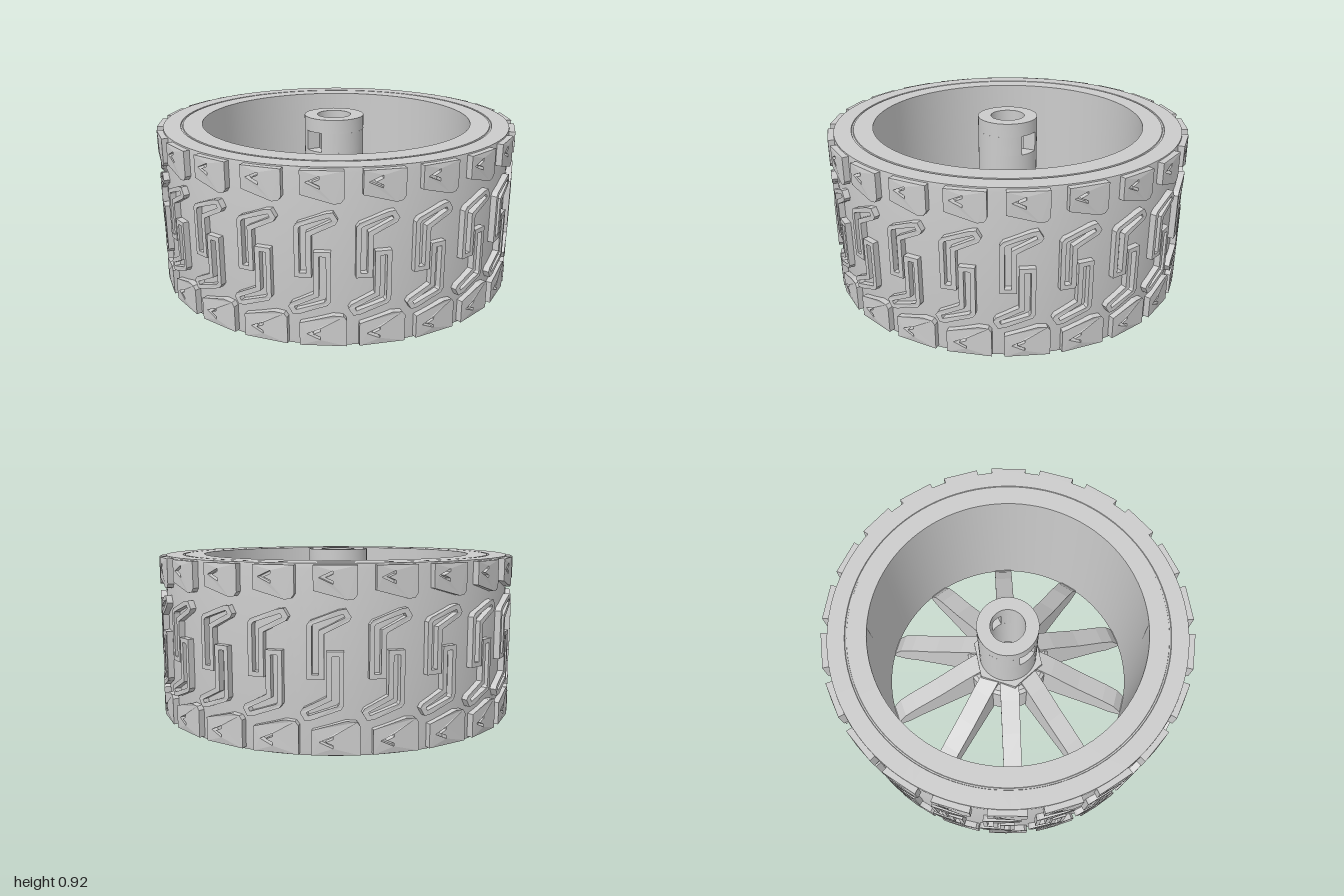
import * as THREE from 'three';
import { mergeGeometries, toCreasedNormals } from 'three/addons/utils/BufferGeometryUtils.js';

const BLOCKS = 22, SPOKES = 10, BASE_R = 0.955, TREAD_R = 1.0;
const pts = (list) => list.map(([x, y]) => new THREE.Vector2(x, y));
const rad = THREE.MathUtils.degToRad;

export function createModel() {
  const group = new THREE.Group();
  const material = new THREE.MeshStandardMaterial({ color: 0xcccccc });

  const add = (name, geometry) => {
    const mesh = new THREE.Mesh(geometry, material);
    mesh.name = name;
    group.add(mesh);
    return mesh;
  };

  // closed profile in (radius, height), listed counterclockwise
  const turned = (profile, segments) =>
    toCreasedNormals(new THREE.LatheGeometry(pts([...profile, profile[0]]), segments), 0.5);

  // flat outline with optional grooves, wrapped around the tyre at an angle
  const treadBlock = (outline, grooves, angle) => {
    const shape = new THREE.Shape(pts(outline));
    grooves.forEach((g) => shape.holes.push(new THREE.Path(pts(g))));
    const geo = new THREE.ExtrudeGeometry(shape, { depth: TREAD_R - BASE_R, bevelEnabled: false });
    const p = geo.attributes.position;
    for (let i = 0; i < p.count; i++) {
      const a = angle + p.getX(i) / TREAD_R;
      const r = BASE_R + p.getZ(i);
      p.setXYZ(i, r * Math.sin(a), p.getY(i), r * Math.cos(a));
    }
    geo.computeVertexNormals();
    return geo;
  };

  // tyre and rim: one hollow ring with a stepped lower lip
  add('tyre', turned([
    [0.82, 0], [0.965, 0], [0.968, 0.02], [0.968, 0.87], [0.965, 0.892],
    [0.872, 0.892], [0.87, 0.887], [0.862, 0.887], [0.86, 0.892],
    [0.755, 0.892], [0.755, 0.045], [0.82, 0.045],
  ], 96));

  // tread outlines: shoulder blocks with a chevron sipe, hooks with a long groove
  const upperShoulder = [[-0.1, 0.772], [0.055, 0.73], [0.085, 0.735], [0.1, 0.755], [0.1, 0.885], [-0.1, 0.885]];
  const upperSipe = [[-0.075, 0.83], [-0.01, 0.8], [-0.01, 0.815], [-0.045, 0.83], [-0.01, 0.845], [-0.01, 0.86]];
  const lowerShoulder = [[-0.11, 0.012], [0.115, 0.012], [0.115, 0.15], [0.1, 0.17], [0.05, 0.175], [-0.11, 0.13]];
  const lowerSipe = upperSipe.map(([x, y]) => [x, y - 0.755]);
  const hook = [[-0.085, -0.065], [-0.005, -0.065], [-0.005, 0.145], [0.105, 0.2],
    [0.118, 0.22], [0.095, 0.258], [0.06, 0.253], [-0.07, 0.205], [-0.085, 0.185]];
  const hookGroove = [[-0.062, -0.042], [-0.03, -0.042], [-0.03, 0.16], [0.088, 0.218],
    [0.08, 0.234], [-0.055, 0.188], [-0.062, 0.178]];
  const HOOK_Y = 0.433;
  const place = (outline, s) => outline.map(([x, y]) => [s * x, HOOK_Y + s * y]);

  const shoulders = [], hooks = [];
  for (let i = 0; i < BLOCKS; i++) {
    const a = rad(-5.5) + (i * 2 * Math.PI) / BLOCKS;
    shoulders.push(treadBlock(upperShoulder, [upperSipe], a));
    shoulders.push(treadBlock(lowerShoulder, [lowerSipe], a));
    // each hook interlocks with a copy turned half way round
    for (const s of [1, -1]) {
      hooks.push(treadBlock(place(hook, s), [place(hookGroove, s)], a - rad(2.6)));
    }
  }
  add('shoulderBlocks', mergeGeometries(shoulders));
  add('treadHooks', mergeGeometries(hooks));

  // spokes: wedges rising from the rim to the hub
  const spokeShape = new THREE.Shape(pts([
    [0.18, 0.15], [0.6, 0.04], [0.68, 0.005], [0.8, 0.005], [0.8, 0.05], [0.75, 0.06],
    [0.70, 0.14], [0.62, 0.2], [0.45, 0.3], [0.28, 0.42], [0.18, 0.48],
  ]));
  const spokes = [];
  for (let i = 0; i < SPOKES; i++) {
    const geo = new THREE.ExtrudeGeometry(spokeShape, { depth: 0.11, bevelEnabled: false });
    geo.translate(0, 0, -0.055);
    geo.rotateY(rad(5.5) + (i * 2 * Math.PI) / SPOKES);
    spokes.push(geo);
  }
  add('spokes', mergeGeometries(spokes));

  // hub: flange with a conical cup beneath, carrying a stepped-bore barrel
  const SLOT_LOW = 0.73, SLOT_HIGH = 0.84, TOP = 0.917;
  const hub = [
    add('hubFlange', turned([
      [0.2, 0.14], [0.24, 0.16], [0.24, 0.42], [0.22, 0.44], [0.1, 0.44],
      [0.062, 0.44], [0.062, 0.24], [0.11, 0.24],
    ], 48)),
    add('barrelLower', turned([
      [0.095, 0.44], [0.168, 0.44], [0.168, SLOT_LOW], [0.095, SLOT_LOW],
    ], 48)),
    add('barrelTop', turned([
      [0.095, SLOT_HIGH], [0.168, SLOT_HIGH], [0.168, TOP], [0.095, TOP],
    ], 48)),
  ];

  // hexagonal collar around the foot of the barrel
  const hexagon = new THREE.Shape();
  for (let i = 0; i < 6; i++) {
    const a = rad(15 + i * 60);
    hexagon[i ? 'lineTo' : 'moveTo'](0.21 * Math.cos(a), 0.21 * Math.sin(a));
  }
  hexagon.holes.push(new THREE.Path().absarc(0, 0, 0.16, 0, 2 * Math.PI, true));
  const collar = new THREE.ExtrudeGeometry(hexagon, { depth: 0.06, bevelEnabled: false, curveSegments: 24 });
  collar.rotateX(-Math.PI / 2).translate(0, 0.43, 0);
  hub.push(add('hubCollar', collar));

  // barrel walls either side of the cross hole
  const walls = [45, 225].map((start) => {
    const a = rad(start + 19), b = rad(start + 161);
    const sector = new THREE.Shape();
    sector.absarc(0, 0, 0.168, a, b, false);
    sector.absarc(0, 0, 0.095, b, a, true);
    const geo = new THREE.ExtrudeGeometry(sector, {
      depth: SLOT_HIGH - SLOT_LOW, bevelEnabled: false, curveSegments: 20,
    });
    return geo.rotateX(-Math.PI / 2).translate(0, SLOT_LOW, 0);
  });
  hub.push(add('barrelWalls', toCreasedNormals(mergeGeometries(walls), 0.5)));
  hub.forEach((mesh) => { mesh.position.x = -0.012; });

  return group;
}
